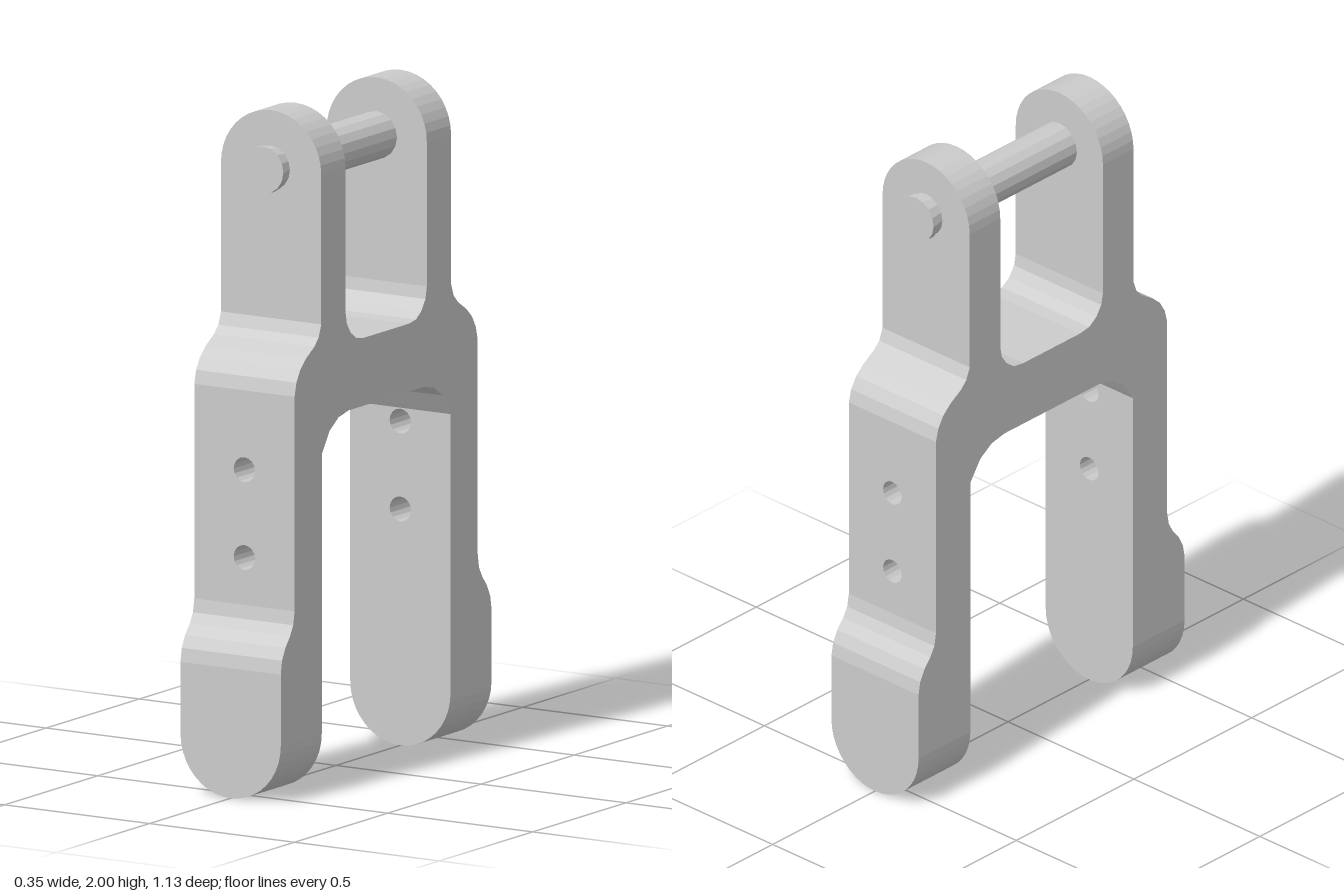
import * as THREE from 'three';
import { mergeGeometries } from 'three/addons/utils/BufferGeometryUtils.js';

const HALF_WIDTH = 0.173;
const INNER = 0.345;          // inner face of the legs
const SEAMS = [HALF_WIDTH, 0.6, 1.0, 2 - HALF_WIDTH]; // heights where pieces join

const material = new THREE.MeshStandardMaterial({ color: 0xcccccc, flatShading: true });

const shapeOf = (points) => new THREE.Shape(points.map(([a, b]) => new THREE.Vector2(a, b)));

// Drop the hidden faces where two pieces meet
function openSeams(geometry) {
  const p = geometry.attributes.position;
  const kept = [];
  for (let i = 0; i < p.count; i += 3) {
    const hidden = SEAMS.some((s) => [0, 1, 2].every((k) => Math.abs(p.getY(i + k) - s) < 1e-5));
    if (hidden) continue;
    for (let k = 0; k < 3; k++) kept.push(p.getX(i + k), p.getY(i + k), p.getZ(i + k));
  }
  const result = new THREE.BufferGeometry();
  result.setAttribute('position', new THREE.Float32BufferAttribute(kept, 3));
  result.computeVertexNormals();
  return result;
}

// Side profile given as [z, y], extruded across the width
function acrossWidth(points) {
  const g = new THREE.ExtrudeGeometry(shapeOf(points), { depth: HALF_WIDTH * 2, bevelEnabled: false });
  g.translate(0, 0, -HALF_WIDTH).rotateY(-Math.PI / 2);
  return openSeams(g);
}

// Front outline in x, y, extruded from z0 to z1
function throughDepth(shape, z0, z1, curveSegments) {
  const g = new THREE.ExtrudeGeometry(shape, { depth: z1 - z0, bevelEnabled: false, curveSegments });
  g.translate(0, 0, z0);
  return openSeams(g);
}

function halfDisc(y, start) {
  const shape = new THREE.Shape();
  shape.absarc(0, y, HALF_WIDTH, start, start + Math.PI, false);
  return shape;
}

export function createModel() {
  const model = new THREE.Group();
  const add = (name, geometry, parent = model) => {
    const mesh = new THREE.Mesh(geometry, material);
    mesh.name = name;
    parent.add(mesh);
    return mesh;
  };

  // Bridge with shoulders and the two upper arms
  const half = [
    [0.2, 1.105], [0.255, 1.094], [0.3025, 1.0625], [0.334, 1.016], [INNER, 1.0],
    [0.491, 1.0], [0.491, 1.195], [0.481, 1.235], [0.46, 1.27], [0.43, 1.297],
    [0.385, 1.325], [0.362, 1.348], [0.348, 1.385],
    [0.348, SEAMS[3]], [0.218, SEAMS[3]],
    [0.218, 1.4], [0.211, 1.364], [0.19, 1.333], [0.16, 1.312], [0.12, 1.306],
  ];
  const mirrored = half.map(([z, y]) => [-z, y]).reverse();
  add('bridge', acrossWidth([...half, ...mirrored]));

  // Foot: thick below, narrowing up to the leg
  const foot = acrossWidth([
    [INNER, SEAMS[0]], [0.565, SEAMS[0]], [0.565, 0.385], [0.558, 0.425], [0.54, 0.46],
    [0.515, 0.49], [0.498, 0.52], [0.491, 0.56], [0.491, SEAMS[1]], [INNER, SEAMS[1]],
  ]);
  const footEnd = throughDepth(halfDisc(SEAMS[0], Math.PI), INNER, 0.565, 10);

  // Leg plate with two through holes
  const plate = shapeOf([
    [-HALF_WIDTH, SEAMS[1]], [HALF_WIDTH, SEAMS[1]], [HALF_WIDTH, SEAMS[2]], [-HALF_WIDTH, SEAMS[2]],
  ]);
  for (const y of [0.7, 0.96]) {
    const hole = new THREE.Path();
    hole.absarc(0, y, 0.037, 0, Math.PI * 2, true);
    plate.holes.push(hole);
  }
  const leg = mergeGeometries([foot, footEnd, throughDepth(plate, INNER, 0.491, 8)]);
  const armEnd = throughDepth(halfDisc(SEAMS[3], 0), 0.218, 0.348, 10);

  for (const [side, turn] of [['front', 0], ['back', Math.PI]]) {
    const group = new THREE.Group();
    group.name = side + 'Side';
    group.rotation.y = turn;
    add(side + 'Leg', leg, group);
    add(side + 'ArmEnd', armEnd, group);
    model.add(group);
  }

  // Cross pin with a shallow groove behind each head
  const pinHalf = [[0, 0.391], [0.07, 0.391], [0.07, 0.37], [0.065, 0.367], [0.065, 0.345], [0.07, 0.34]];
  const pinProfile = [...pinHalf.map(([r, h]) => [r, -h]), ...pinHalf.slice().reverse()];
  const pin = new THREE.LatheGeometry(pinProfile.map(([r, h]) => new THREE.Vector2(r, h)), 16);
  pin.rotateX(Math.PI / 2);
  add('crossPin', pin).position.y = 1.83;

  return model;
}
